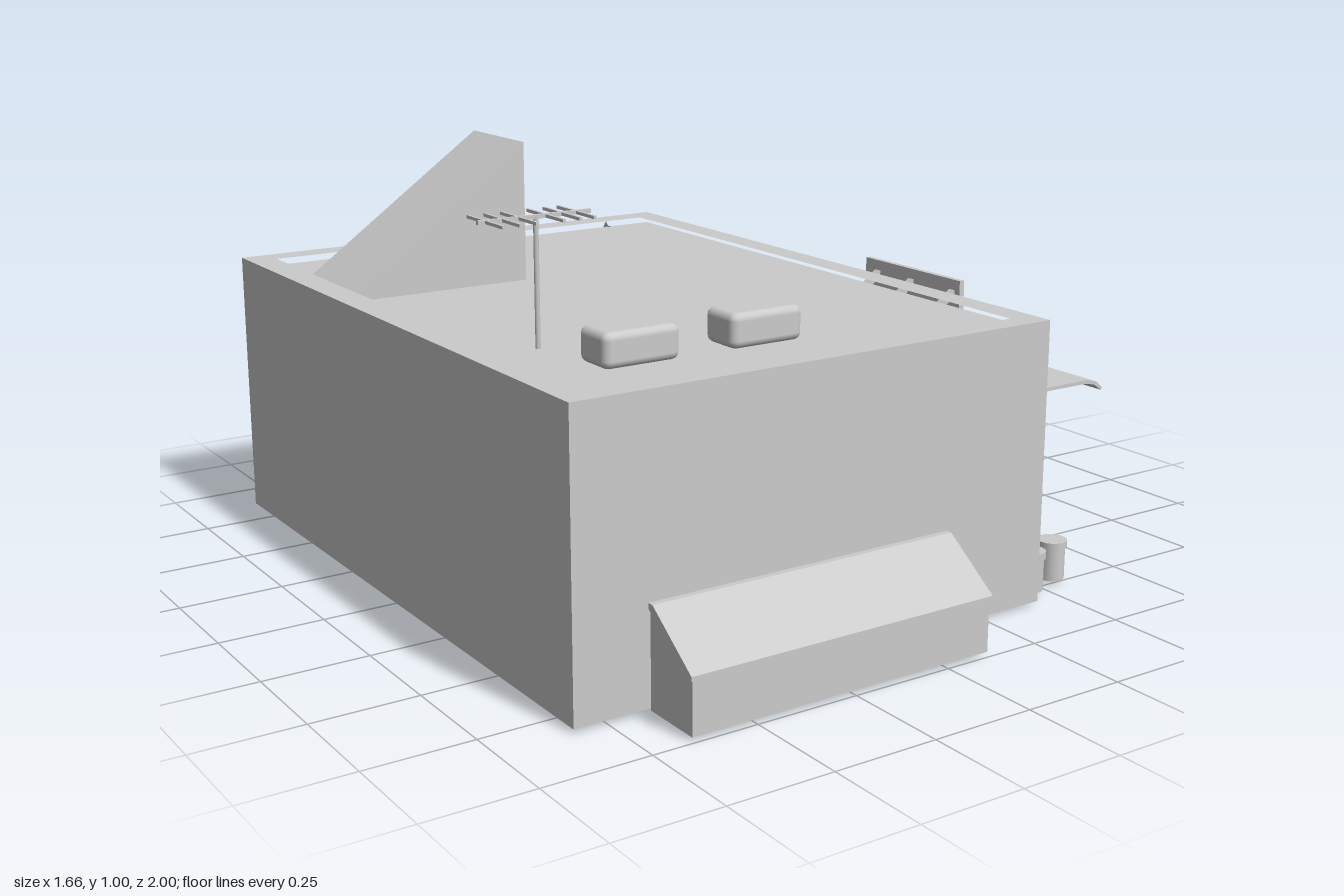
import * as THREE from 'three';
import { RoundedBoxGeometry } from 'three/addons/geometries/RoundedBoxGeometry.js';

const material = new THREE.MeshStandardMaterial({ color: 0xcccccc, flatShading: true });
const smooth = new THREE.MeshStandardMaterial({ color: 0xcccccc });

export function createModel() {
  const model = new THREE.Group();
  model.name = 'fillingStation';

  const add = (name, geometry, mat = material) => {
    const mesh = new THREE.Mesh(geometry, mat);
    mesh.name = name;
    model.add(mesh);
    return mesh;
  };
  // box from its limits on each axis
  const box = (name, x0, x1, y0, y1, z0, z1) => {
    const mesh = add(name, new THREE.BoxGeometry(x1 - x0, y1 - y0, z1 - z0));
    mesh.position.set((x0 + x1) / 2, (y0 + y1) / 2, (z0 + z1) / 2);
    return mesh;
  };
  // bar of width w and height h running from a to b
  const beam = (name, a, b, w, h) => {
    const from = new THREE.Vector3(...a), to = new THREE.Vector3(...b);
    const mesh = add(name, new THREE.BoxGeometry(w, h, from.distanceTo(to)));
    mesh.position.copy(from).lerp(to, 0.5);
    mesh.lookAt(to);
    return mesh;
  };
  const cylinder = (name, r, y0, y1, x, z, sides = 16) => {
    const mesh = add(name, new THREE.CylinderGeometry(r, r, y1 - y0, sides), smooth);
    mesh.position.set(x, (y0 + y1) / 2, z);
    return mesh;
  };
  // extrusions along an axis; points are (x,y), (z,y) and (x,z)
  const extrude = (points, holes, length, map) => {
    const toVec = (list) => list.map((p) => new THREE.Vector2(...map(p)));
    const shape = new THREE.Shape(toVec(points));
    holes.forEach((h) => shape.holes.push(new THREE.Path(toVec(h))));
    return new THREE.ExtrudeGeometry(shape, { depth: length, bevelEnabled: false });
  };
  const alongZ = (name, points, z0, z1, holes = []) =>
    add(name, extrude(points, holes, z1 - z0, (p) => p).translate(0, 0, z0));
  const alongX = (name, points, x0, x1, holes = []) =>
    add(name, extrude(points, holes, x1 - x0, ([z, y]) => [-z, y]).rotateY(Math.PI / 2).translate(x0, 0, 0));
  const alongY = (name, points, y0, y1, holes = []) =>
    add(name, extrude(points, holes, y1 - y0, ([x, z]) => [x, -z]).rotateX(-Math.PI / 2).translate(0, y0, 0));
  const rect = (a0, a1, b0, b1) => [[a0, b0], [a1, b0], [a1, b1], [a0, b1]];

  // main building: core, right and back walls with recesses, parapet ring
  const X0 = -0.83, X1 = 0.415, Z0 = -0.85, Z1 = 0.835, T = 0.03;
  box('buildingCore', X0, X1 - T, 0.01, 0.65, Z0 + T, Z1);
  alongX('rightWall', rect(Z0, Z1, 0.01, 0.65), X1 - T, X1,
    [rect(-0.47, 0.832, 0.095, 0.28), rect(-0.77, -0.51, 0.03, 0.28)]);
  alongZ('backWall', rect(X0, X1 - T, 0.01, 0.65), Z0, Z0 + T, [rect(-0.61, -0.415, 0.02, 0.28)]);
  alongY('parapet', rect(X0, X1, Z0, Z1), 0.65, 0.68, [rect(-0.76, 0.35, -0.785, 0.775)]);

  // sloped reveals of the long window recess and the doorways
  const xi = X1 - T;
  alongZ('windowHead', [[xi, 0.28], [X1, 0.28], [xi, 0.265]], -0.47, 0.832);
  alongZ('windowSill', [[xi, 0.095], [X1, 0.095], [xi, 0.12]], -0.47, 0.832);
  alongY('windowJamb', [[xi, 0.832], [X1, 0.832], [xi, 0.817]], 0.095, 0.28);
  alongZ('sideDoorSill', [[xi, 0.03], [X1, 0.03], [xi, 0.05]], -0.77, -0.51);
  alongX('backDoorSill', [[Z0, 0.02], [Z0 + T, 0.02], [Z0 + T, 0.04]], -0.61, -0.415);

  // open double doors on the right side
  beam('sideDoorLeaf', [0.42, 0.15, -0.51], [0.53, 0.15, -0.42], 0.006, 0.265);
  beam('sideDoorLeaf', [0.42, 0.15, -0.77], [0.492, 0.15, -0.885], 0.006, 0.265);

  // sloped stair housing on the roof, notched for its doorway
  const wedge = [[-0.76, 0.65], [-0.28, 0.65], [-0.28, 1.0], [-0.76, 0.66]];
  const notched = [[-0.76, 0.65], [-0.33, 0.65], [-0.33, 0.93], [-0.28, 0.93], [-0.28, 1.0], [-0.76, 0.66]];
  alongZ('stairHousing', wedge, -0.59, -0.52);
  alongZ('stairHousing', notched, -0.52, -0.385);
  alongZ('stairHousing', wedge, -0.385, -0.325);
  beam('stairDoor', [-0.28, 0.79, -0.393], [-0.23, 0.79, -0.487], 0.006, 0.275);

  // roof vents
  for (const x of [-0.5, -0.178]) {
    const vent = add('roofVent', new RoundedBoxGeometry(0.19, 0.08, 0.11, 2, 0.018), smooth);
    vent.position.set(x, 0.69, 0.525);
  }

  // aerial
  cylinder('aerialMast', 0.006, 0.65, 0.94, -0.61, 0.325, 8);
  beam('aerialBoom', [-0.75, 0.94, 0.325], [-0.475, 0.94, 0.325], 0.009, 0.009);
  for (const x of [-0.73, -0.69, -0.65, -0.585, -0.545, -0.51])
    beam('aerialElement', [x, 0.94, 0.245], [x, 0.94, 0.405], 0.007, 0.007);

  // lean-to bin at the front, with a lid lip
  alongX('frontBin', [[0.845, 0.01], [0.995, 0.01], [0.995, 0.135], [0.86, 0.23], [0.845, 0.23]], -0.655, 0.115);
  alongX('frontBinLid', [[0.845, 0.23], [1.0, 0.13], [1.0, 0.14], [0.86, 0.243], [0.845, 0.243]], -0.66, 0.12);

  // ladder leaning on the back wall
  const foot = [0.035, -0.993], head = [0.765, -0.838];
  for (const x of [-0.206, -0.09]) beam('ladderRail', [x, ...foot], [x, ...head], 0.022, 0.013);
  for (let i = 0; i < 12; i++) {
    const t = (i + 0.7) / 12.4;
    const y = foot[0] + (head[0] - foot[0]) * t, z = foot[1] + (head[1] - foot[1]) * t;
    beam('ladderRung', [-0.2, y, z], [-0.096, y, z], 0.01, 0.012);
  }

  // drainpipe
  const pipePath = new THREE.CatmullRomCurve3([[0.66, -0.845], [0.65, -0.862], [0.62, -0.867],
    [0.35, -0.867], [0.1, -0.867], [0.085, -0.872], [0.075, -0.885]]
    .map(([y, z]) => new THREE.Vector3(0.285, y, z)));
  add('drainpipe', new THREE.TubeGeometry(pipePath, 40, 0.01, 8), smooth);

  // canopy with a drooping outer edge
  alongZ('canopy', [[X1, 0.428], [0.77, 0.428], [0.8, 0.422], [0.824, 0.405], [0.829, 0.411],
    [0.805, 0.43], [0.775, 0.437], [X1, 0.437]], -0.54, 0.605);
  for (const z of [0.42, -0.35]) box('canopyPost', 0.683, 0.71, 0, 0.43, z - 0.014, z + 0.014);
  box('signBoard', 0.685, 0.7, 0.437, 0.63, -0.155, 0.228);
  for (const z of [-0.105, 0.035, 0.198]) beam('signStrut', [0.465, 0.437, z], [0.69, 0.598, z], 0.022, 0.014);

  // pump island and pumps
  box('pumpIsland', 0.615, 0.81, 0, 0.012, -0.23, 0.305);
  for (const z of [0.247, -0.18]) {
    alongZ('pumpBody', [[0.66, 0.01], [0.73, 0.01], [0.73, 0.115], [0.706, 0.2], [0.706, 0.212], [0.712, 0.216],
      [0.712, 0.235], [0.66, 0.235]], z - 0.033, z + 0.033);
    beam('pumpScreen', [0.733, 0.118, z], [0.712, 0.195, z], 0.052, 0.005);
    beam('pumpNozzle', [0.672, 0.09, z - 0.04], [0.63, 0.09, z - 0.04], 0.01, 0.012);
    beam('pumpHandle', [0.675, 0.085, z - 0.04], [0.69, 0.15, z - 0.04], 0.012, 0.01);
  }

  // lidded barrels
  for (const [x, z] of [[0.455, 0.69], [0.455, 0.765], [0.552, 0.735]]) {
    cylinder('barrel', 0.032, 0.01, 0.09, x, z);
    cylinder('barrelLid', 0.036, 0.088, 0.106, x, z);
  }
  return model;
}
